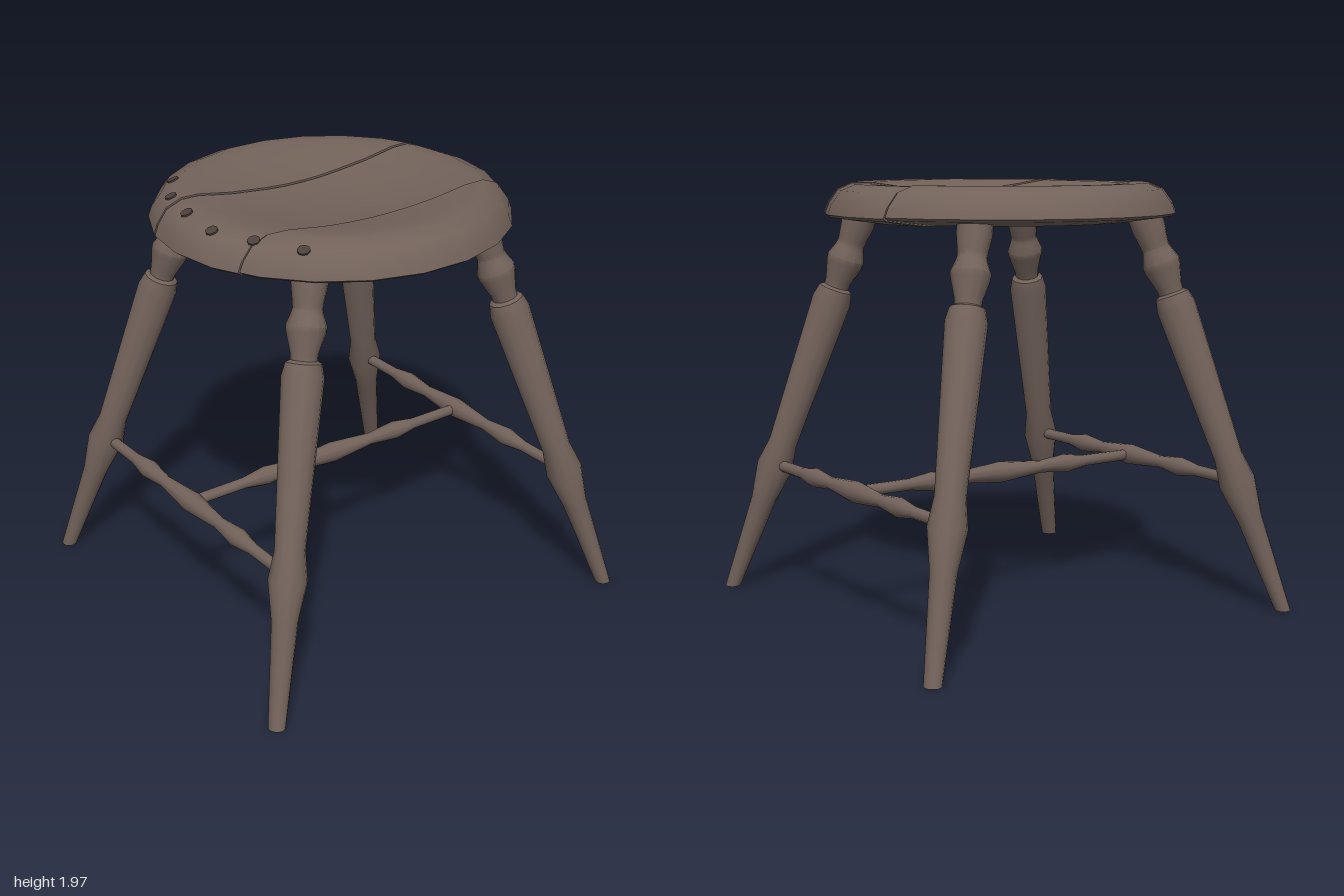
import * as THREE from 'three';
import { toCreasedNormals } from 'three/addons/utils/BufferGeometryUtils.js';

const wood = new THREE.MeshStandardMaterial({ color: 0x72625a });
wood.name = 'brown wood';
const darkWood = new THREE.MeshStandardMaterial({ color: 0x4c413c });
darkWood.name = 'dark hole';

// Turned part from [radius, height] pairs listed bottom to top
function turned(profile, sides) {
  return new THREE.LatheGeometry(profile.map(([r, y]) => new THREE.Vector2(r, y)), sides);
}

function addMesh(parent, name, geometry, material = wood) {
  const mesh = new THREE.Mesh(geometry, material);
  mesh.name = name;
  parent.add(mesh);
  return mesh;
}

// Keeps the triangles where side * (x - x0 - slope * z) > 0 and closes the cut
function cutSolid(triangles, x0, slope, side) {
  const distance = (p) => side * (p.x - x0 - slope * p.z);
  const centre = new THREE.Vector3(x0, 1.85, 0);
  const outward = new THREE.Vector3(-side, 0, side * slope);
  const result = [];
  for (const tri of triangles) {
    const kept = [];
    const crossing = [];
    for (let i = 0; i < 3; i++) {
      const a = tri[i], b = tri[(i + 1) % 3];
      const da = distance(a), db = distance(b);
      if (da >= 0) kept.push(a);
      if ((da >= 0) !== (db >= 0)) {
        const p = a.clone().lerp(b, da / (da - db));
        kept.push(p);
        crossing.push(p);
      }
    }
    for (let i = 2; i < kept.length; i++) result.push([kept[0], kept[i - 1], kept[i]]);
    if (crossing.length === 2) {
      const [a, b] = crossing;
      const normal = b.clone().sub(a).cross(centre.clone().sub(a));
      result.push(normal.dot(outward) > 0 ? [a, b, centre] : [b, a, centre]);
    }
  }
  return result;
}

// Dished round seat split into three planks
function buildSeat() {
  const seat = new THREE.Group();
  seat.name = 'seat';
  const disc = turned([
    [0, 1.795], [0.61, 1.797], [0.795, 1.823], [0.812, 1.835], [0.795, 1.88], [0.75, 1.942],
    [0.68, 1.97], [0.6, 1.968], [0.45, 1.94], [0.25, 1.912], [0, 1.9],
  ], 22).toNonIndexed();
  const pos = disc.attributes.position;
  const all = [];
  for (let i = 0; i < pos.count; i += 3) {
    all.push([0, 1, 2].map((k) => new THREE.Vector3().fromBufferAttribute(pos, i + k)));
  }
  const gap = 0.004;
  const leftCut = [0.357, -0.009], rightCut = [-0.236, 0.019];
  const planks = {
    leftPlank: cutSolid(all, leftCut[0] + gap, leftCut[1], 1),
    middlePlank: cutSolid(
      cutSolid(all, leftCut[0] - gap, leftCut[1], -1), rightCut[0] + gap, rightCut[1], 1),
    rightPlank: cutSolid(all, rightCut[0] - gap, rightCut[1], -1),
  };
  for (const [name, tris] of Object.entries(planks)) {
    const geometry = new THREE.BufferGeometry().setFromPoints(tris.flat());
    const plank = addMesh(seat, name, toCreasedNormals(geometry, 0.6));
    if (name === 'middlePlank') plank.position.y = -0.005;
  }

  // Drilled holes along the front rim, above and below
  const holes = [[-0.48, 0.525], [-0.3, 0.645], [-0.08, 0.7], [0.14, 0.715], [0.34, 0.64], [0.53, 0.525]];
  const up = new THREE.Vector3(0, 1, 0);
  for (const [x, z] of holes) {
    const r = Math.hypot(x, z);
    const plate = new THREE.CylinderGeometry(0.028, 0.028, 0.008, 8);
    const top = addMesh(seat, 'holeTop', plate, darkWood);
    top.position.set(x, 1.97 - (r - 0.68) * 0.4, z);
    top.quaternion.setFromUnitVectors(up, new THREE.Vector3(x / r * 0.4, 1, z / r * 0.4).normalize());
    const bottom = addMesh(seat, 'holeBottom', plate, darkWood);
    bottom.position.set(x * 0.84, 1.795, z * 0.84);
  }
  return seat;
}

// Splayed turned leg with its foot cut level with the floor
function buildLeg(sx, sz) {
  const foot = new THREE.Vector3(sx * 0.918, 0, sz * 0.957);
  const axis = new THREE.Vector3(sx * 0.485, 1.82, sz * 0.46).sub(foot);
  const stretch = axis.length() / 1.82;
  const profile = [
    [0, -0.012], [0.039, -0.012], [0.058, 0.43], [0.086, 0.6], [0.067, 0.72], [0.092, 1.41],
    [0.078, 1.465], [0.058, 1.475], [0.06, 1.5], [0.085, 1.585], [0.088, 1.61], [0.07, 1.655],
    [0.064, 1.675], [0.066, 1.695], [0.078, 1.77], [0.078, 1.84], [0, 1.84],
  ].map(([r, y]) => [r, y * stretch]);
  const geometry = turned(profile, 12);
  geometry.applyQuaternion(
    new THREE.Quaternion().setFromUnitVectors(new THREE.Vector3(0, 1, 0), axis.normalize()));
  geometry.translate(foot.x, 0, foot.z);
  const pos = geometry.attributes.position;
  for (let i = 0; i < pos.count; i++) pos.setY(i, Math.max(0, pos.getY(i)));
  return toCreasedNormals(geometry, 0.6);
}

// Stretcher rod with three swellings, lying along x
function buildStretcher() {
  const half = [[0.05, 0], [0.029, 0.23], [0.045, 0.38], [0.027, 0.5], [0.026, 0.77], [0, 0.77]];
  const mirrored = half.slice(1).reverse().map(([r, y]) => [r, -y]);
  return toCreasedNormals(turned([...mirrored, ...half], 10).rotateZ(Math.PI / 2), 0.7);
}

export function createModel() {
  const stool = new THREE.Group();
  stool.name = 'stool';
  stool.add(buildSeat());

  for (const sz of [1, -1]) {
    const end = sz > 0 ? 'front' : 'back';
    for (const sx of [1, -1]) addMesh(stool, end + (sx > 0 ? 'LeftLeg' : 'RightLeg'), buildLeg(sx, sz));
    addMesh(stool, end + 'Stretcher', buildStretcher()).position.set(0, 0.61, sz * 0.785);
  }
  const cross = addMesh(stool, 'crossStretcher', buildStretcher());
  cross.rotation.y = Math.PI / 2;
  cross.position.y = 0.61;
  return stool;
}
